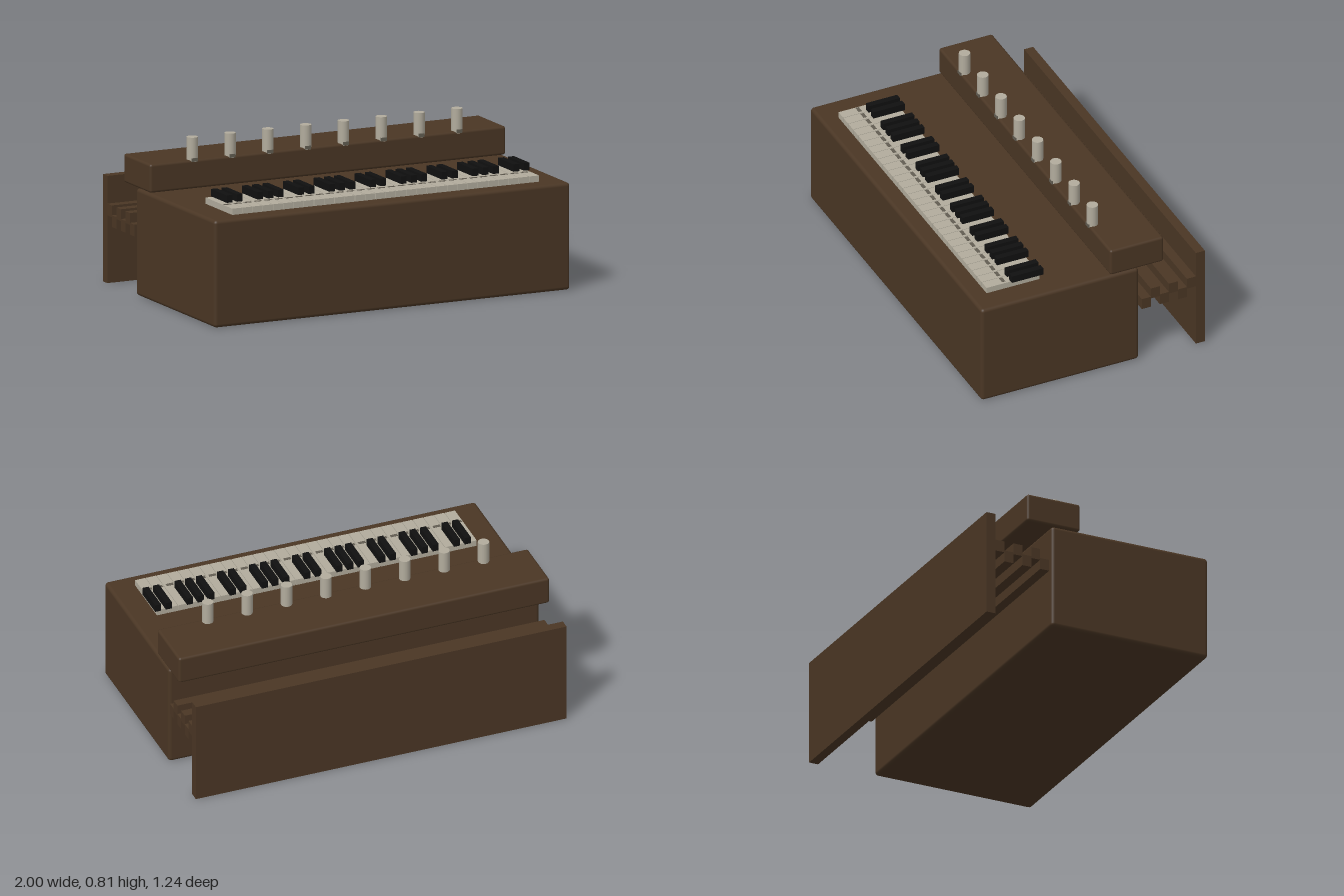
import * as THREE from 'three';
import { RoundedBoxGeometry } from 'three/addons/geometries/RoundedBoxGeometry.js';

function material(name, color) {
  const m = new THREE.MeshStandardMaterial({ color });
  m.name = name;
  return m;
}

export function createModel() {
  const model = new THREE.Group();
  model.name = 'keyboardOrgan';
  const wood = material('dark wood', 0x4a3624);
  const ivory = material('ivory', 0xb2ac9d);
  const ebony = material('ebony', 0x101010);
  const mark = material('worn grey', 0x625d52);

  // Box given by its extents; a radius rounds its edges
  function box(parent, name, mat, [x0, x1], [y0, y1], [z0, z1], radius = 0) {
    const size = [x1 - x0, y1 - y0, z1 - z0];
    const geometry = radius
      ? new RoundedBoxGeometry(...size, 3, radius)
      : new THREE.BoxGeometry(...size);
    const mesh = new THREE.Mesh(geometry, mat);
    mesh.name = name;
    mesh.position.set((x0 + x1) / 2, (y0 + y1) / 2, (z0 + z1) / 2);
    parent.add(mesh);
  }
  function group(name) {
    const g = new THREE.Group();
    g.name = name;
    model.add(g);
    return g;
  }

  // Case, raised control shelf and rear panel
  const full = [-1, 1];
  box(model, 'body', wood, full, [0, 0.55], [-0.255, 0.62], 0.018);
  box(model, 'controlShelf', wood, full, [0.553, 0.7], [-0.392, -0.095], 0.013);
  box(model, 'backPanel', wood, full, [0, 0.55], [-0.62, -0.57]);

  // Staggered slats between the body and the rear panel
  const slats = group('slats');
  for (let i = 0; i < 6; i++) {
    const y = i % 2 ? 0.348 : 0.298;
    const z = -0.27 - i * 0.05;
    box(slats, 'slat', wood, full, [y, y + 0.06], [z - 0.05, z]);
  }

  // Keys: sharps sit on the joints between naturals, in groups of two and three
  const keys = group('keys');
  const pitch = 0.0576, start = -0.857;
  for (let i = 0; i < 30; i++) {
    const x = start + i * pitch;
    box(keys, 'whiteKey', ivory, [x + 0.0015, x + pitch - 0.0015], [0.545, 0.582], [0.235, 0.53]);
    box(keys, 'keyMark', mark, [x + 0.006, x + 0.044], [0.58, 0.5835], [0.42, 0.438]);
    const joint = i + 1;
    if (joint % 7 !== 0 && joint % 7 !== 3) {
      const c = start + joint * pitch - 0.003;
      box(keys, 'blackKey', ebony, [c - 0.016, c + 0.016], [0.582, 0.62], [0.222, 0.396]);
    }
  }

  // Row of upright knobs along the shelf's front edge
  const knobs = group('knobs');
  const knobShape = new THREE.CylinderGeometry(0.029, 0.029, 0.125, 16);
  for (let i = 0; i < 8; i++) {
    const knob = new THREE.Mesh(knobShape, ivory);
    knob.name = 'knob';
    knob.position.set(-0.751 + i * 0.2126, 0.7525, -0.12);
    knobs.add(knob);
    const x = knob.position.x;
    box(knobs, 'knobMark', mark, [x - 0.016, x + 0.016], [0.692, 0.71], [-0.096, -0.09]);
  }
  return model;
}
